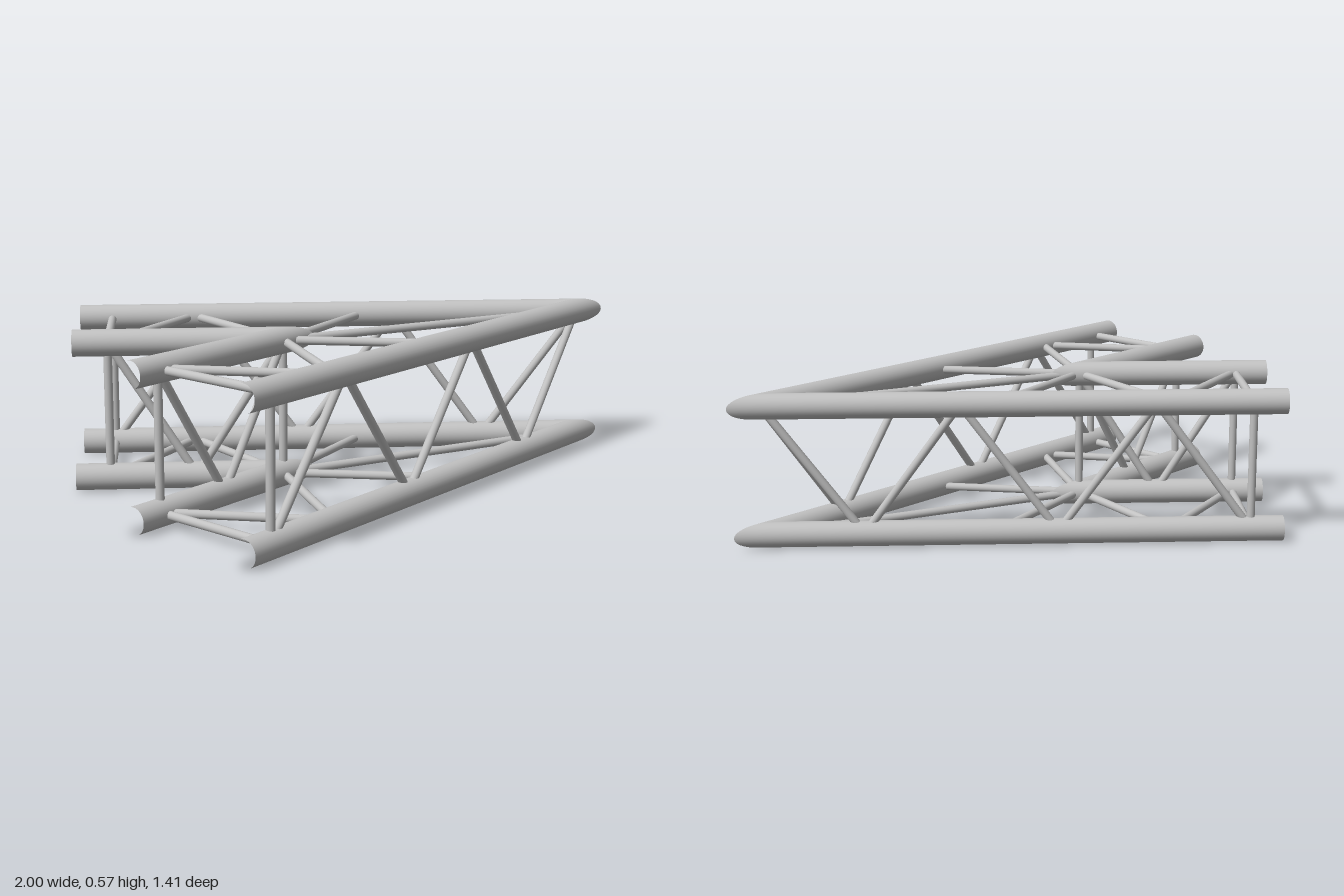
import * as THREE from 'three';

const LOW = 0.047, HIGH = 0.527;       // heights of the chord axes
const CHORD_R = 0.047, BRACE_R = 0.015;
const END = -1, POST = -0.88;          // open end and first post along the straight leg
const OUTER = { x: 0.887, z: 0.655 };  // mitred corners of the outer and inner chords
const INNER = { x: -0.272, z: 0.175 };
const HALF = Math.PI / 8;              // half of the 45 degree corner

export function createModel() {
  const group = new THREE.Group();
  const steel = new THREE.MeshStandardMaterial({ color: 0xc2c2c2 });
  steel.name = 'light grey metal';

  // Vertical mitre plane through both corners
  const normal = new THREE.Vector3(-Math.sin(HALF), 0, Math.cos(HALF));
  const origin = new THREE.Vector3(OUTER.x, 0, OUTER.z);
  const mirror = (p) => p.clone().addScaledVector(normal, -2 * p.clone().sub(origin).dot(normal));
  const same = (p) => p.clone();

  // Open round tube from a to b
  function tube(name, a, b, radius, sides, mitred = false) {
    const dir = b.clone().sub(a);
    const length = dir.length();
    dir.normalize();
    const geo = new THREE.CylinderGeometry(radius, radius, length, sides, 1, true);
    geo.applyQuaternion(new THREE.Quaternion().setFromUnitVectors(new THREE.Vector3(0, 1, 0), dir));
    const mid = a.clone().add(b).multiplyScalar(0.5);
    geo.translate(mid.x, mid.y, mid.z);
    if (mitred) {
      // Slide the ring at b along the axis onto the mitre plane
      const pos = geo.attributes.position;
      const v = new THREE.Vector3();
      for (let i = 0; i < pos.count; i++) {
        v.fromBufferAttribute(pos, i);
        if (v.clone().sub(mid).dot(dir) < 0) continue;
        v.addScaledVector(dir, -v.clone().sub(b).dot(normal) / dir.dot(normal));
        pos.setXYZ(i, v.x, v.y, v.z);
      }
    }
    const mesh = new THREE.Mesh(geo, steel);
    mesh.name = name;
    return mesh;
  }

  const point = (x, y, z) => new THREE.Vector3(x, y, z);

  // Each leg is laid out along x; the angled leg is its mirror image
  for (const [legName, place] of [['straightLeg', same], ['angledLeg', mirror]]) {
    const leg = new THREE.Group();
    leg.name = legName;
    const brace = (name, a, b) => leg.add(tube(name, place(a), place(b), BRACE_R, 16));

    for (const y of [LOW, HIGH]) {
      // Main chords
      for (const [name, c] of [['outerChord', OUTER], ['innerChord', INNER]]) {
        leg.add(tube(name, place(point(END, y, c.z)), place(point(c.x, y, c.z)), CHORD_R, 32, true));
      }
      // Horizontal lacing
      brace('crossBar', point(POST, y, INNER.z), point(POST, y, OUTER.z));
      brace('horizontalBrace', point(POST, y, INNER.z), point(-0.575, y, OUTER.z));
      brace('horizontalBrace', point(-0.575, y, OUTER.z), point(INNER.x, y, INNER.z));
      brace('horizontalBrace', point(INNER.x, y, INNER.z), point(0.06, y, OUTER.z));
    }

    // Posts near the open end and zigzag lacing up the sides
    for (const [c, bays, startHigh] of [[OUTER, 5, 0], [INNER, 2, 1]]) {
      brace('endPost', point(POST, LOW, c.z), point(POST, HIGH, c.z));
      const node = (i) => point(
        POST + (c.x - POST) * i / bays, (i + startHigh) % 2 ? HIGH : LOW, c.z);
      for (let i = 0; i < bays; i++) brace('sideBrace', node(i), node(i + 1));
    }
    group.add(leg);
  }

  // Braces on the mitre plane
  for (const y of [LOW, HIGH]) {
    group.add(tube('cornerBrace', point(INNER.x, y, INNER.z), point(OUTER.x, y, OUTER.z), BRACE_R, 16));
  }
  group.add(tube('cornerPost', point(INNER.x, LOW, INNER.z), point(INNER.x, HIGH, INNER.z), BRACE_R, 16));

  return group;
}
